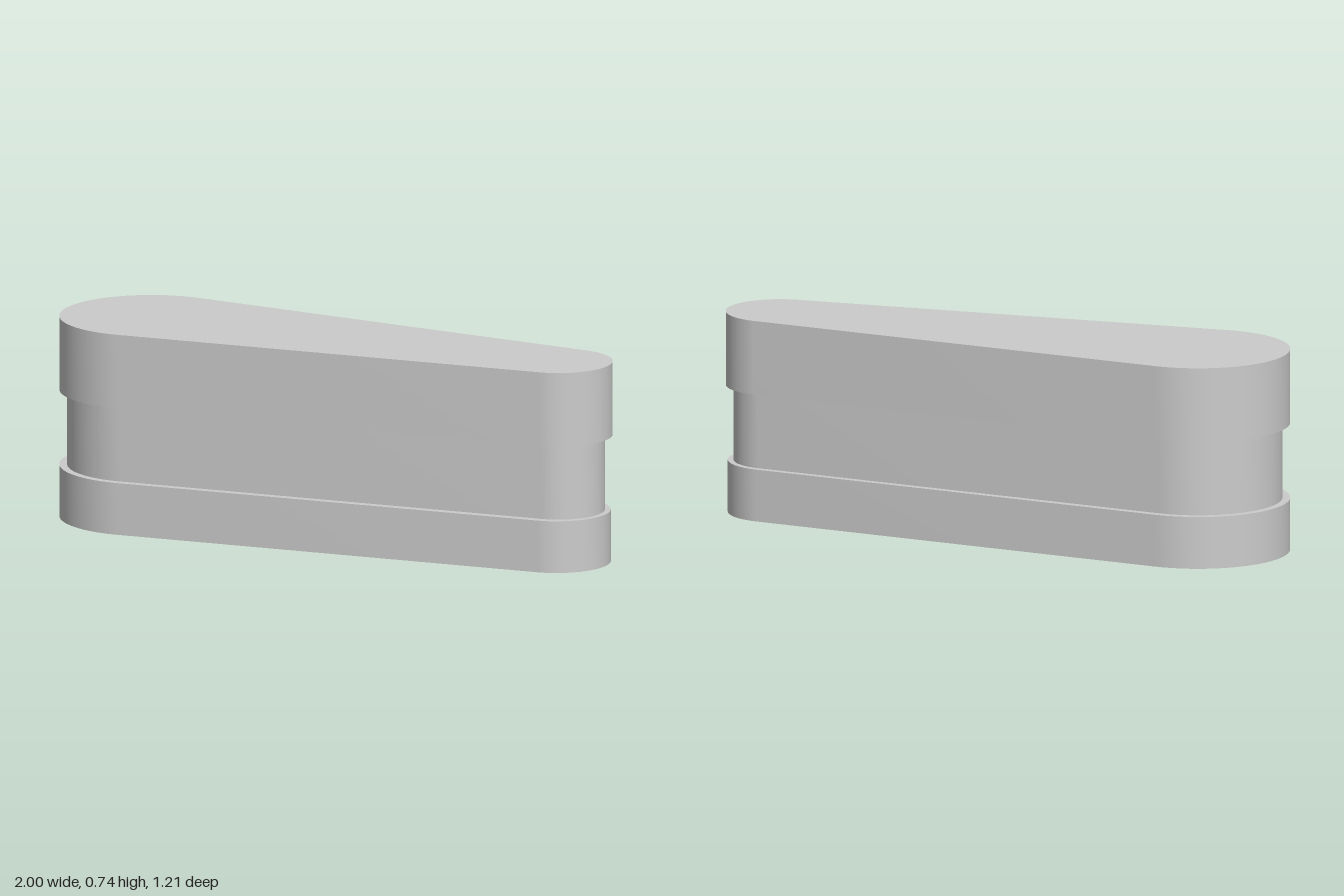
import * as THREE from 'three';
import { toCreasedNormals } from 'three/addons/utils/BufferGeometryUtils.js';

// Centres of the two rounded ends, as (x, -z)
const PIVOT = new THREE.Vector2(-0.67, 0.275);
const TIP = new THREE.Vector2(0.805, -0.41);

// Tapered outline: two circles joined by their common tangents
function batShape(pivotRadius, tipRadius, tipX = TIP.x) {
  const dx = tipX - PIVOT.x, dy = TIP.y - PIVOT.y;
  const axis = Math.atan2(dy, dx);
  const spread = Math.acos((pivotRadius - tipRadius) / Math.hypot(dx, dy));
  const shape = new THREE.Shape();
  shape.absarc(PIVOT.x, PIVOT.y, pivotRadius, axis + spread, axis - spread + 2 * Math.PI, false);
  shape.absarc(tipX, TIP.y, tipRadius, axis - spread, axis + spread, false);
  shape.closePath();
  return shape;
}

// Half-round shaft socket at the pivot, flat side along z
function shaftHole() {
  const hole = new THREE.Path();
  hole.absarc(PIVOT.x, PIVOT.y + 0.02, 0.08, Math.PI / 2, Math.PI * 1.5, false);
  hole.closePath();
  return hole;
}

export function createModel() {
  const group = new THREE.Group();
  const material = new THREE.MeshStandardMaterial({ color: 0xcccccc });

  function addLayer(name, shape, bottom, top, withHole) {
    if (withHole) shape.holes.push(shaftHole());
    let geometry = new THREE.ExtrudeGeometry(shape, {
      depth: top - bottom, bevelEnabled: false, curveSegments: 40,
    });
    geometry.rotateX(-Math.PI / 2);
    geometry = toCreasedNormals(geometry, 0.6);
    const mesh = new THREE.Mesh(geometry, material);
    mesh.name = name;
    mesh.position.y = bottom;
    group.add(mesh);
  }

  // Base flange, recessed waist and closed top cap
  addLayer('baseFlange', batShape(0.33, 0.195, 0.798), 0, 0.19, true);
  addLayer('recessedWaist', batShape(0.302, 0.167), 0.19, 0.465, true);
  addLayer('topCap', batShape(0.33, 0.195), 0.465, 0.735, false);

  return group;
}
